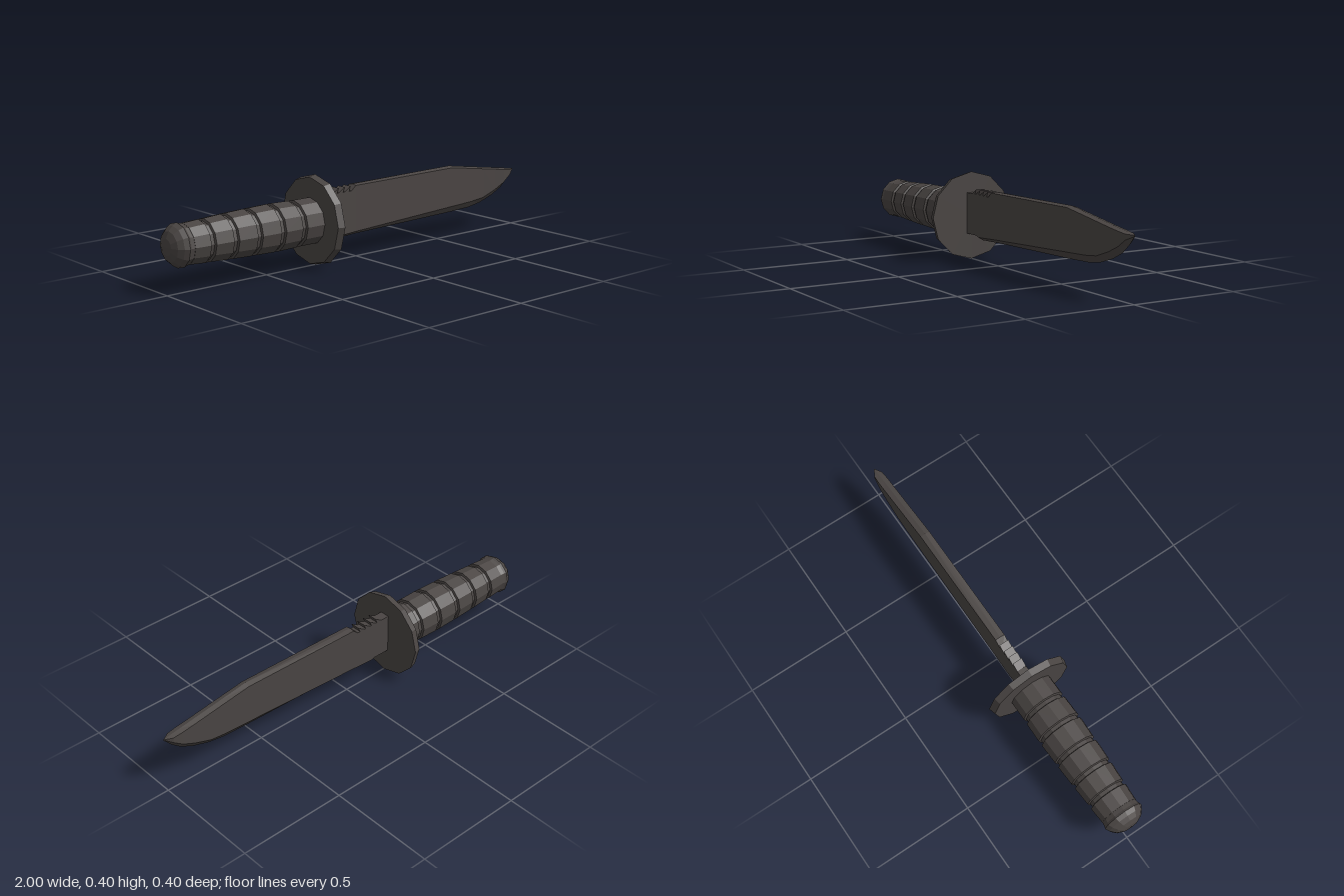
import * as THREE from 'three';

const AXIS_Y = 0.2;
const SIDES = 12;

// Turned part lying along x; profile is a list of [x, radius]
function turned(name, profile, material) {
  const pts = profile.map(([x, r]) => new THREE.Vector2(r, x));
  const geo = new THREE.LatheGeometry(pts, SIDES);
  geo.rotateZ(-Math.PI / 2);
  const mesh = new THREE.Mesh(geo, material);
  mesh.name = name;
  mesh.position.y = AXIS_Y;
  return mesh;
}

// Six-sided cross-sections: spine ridge, flat sides, bevel down to the edge
function bladeGeometry(stations) {
  const pos = [], idx = [];
  for (const [x, ridge, shoulder, bevel, edge, w] of stations) {
    pos.push(x, ridge, 0, x, shoulder, w, x, bevel, w, x, edge, 0, x, bevel, -w, x, shoulder, -w);
  }
  for (let i = 0; i < stations.length - 1; i++) {
    for (let j = 0; j < 6; j++) {
      const a = i * 6 + j, b = i * 6 + (j + 1) % 6;
      idx.push(a, b, b + 6, a, b + 6, a + 6);
    }
  }
  const geo = new THREE.BufferGeometry();
  geo.setAttribute('position', new THREE.Float32BufferAttribute(pos, 3));
  geo.setIndex(idx);
  geo.computeVertexNormals();
  return geo;
}

export function createModel() {
  const model = new THREE.Group();
  model.name = 'knife';
  const dark = new THREE.MeshStandardMaterial({ color: 0x4a4543, flatShading: true });
  dark.name = 'darkGrey';

  // Rounded pommel
  model.add(turned('pommel', [
    [-1, 0], [-0.998, 0.035], [-0.985, 0.065], [-0.965, 0.084],
    [-0.945, 0.095], [-0.935, 0.09], [-0.915, 0.087],
  ], dark));

  // Grip: bands parted by narrow grooves
  const bands = [
    [-0.92, -0.837, 0.088, 0.093], [-0.82, -0.727, 0.093, 0.098], [-0.71, -0.61, 0.099, 0.103],
    [-0.593, -0.49, 0.103, 0.106], [-0.473, -0.375, 0.106, 0.104], [-0.357, -0.255, 0.103, 0.103],
  ];
  const grip = [];
  for (const [x0, x1, r0, r1] of bands) {
    grip.push([x0, r0 - 0.01], [x0 + 0.004, r0], [x1 - 0.004, r1], [x1, r1 - 0.01]);
  }
  model.add(turned('grip', grip, dark));

  // Disc guard
  model.add(turned('guard', [[-0.262, 0], [-0.262, 0.192], [-0.23, 0.2], [-0.23, 0]], dark));

  // Clip-point blade: x, ridge, shoulder, bevel, edge, half width
  const w = 0.023;
  const blade = new THREE.Mesh(bladeGeometry([
    [-0.235, 0.305, 0.305, 0.118, 0.118, w],
    [-0.15, 0.305, 0.305, 0.118, 0.118, w],
    [-0.13, 0.305, 0.305, 0.112, 0.098, w],
    [-0.045, 0.305, 0.305, 0.117, 0.101, w],
    [-0.02, 0.33, 0.326, 0.119, 0.103, w],
    [0.57, 0.338, 0.331, 0.147, 0.116, w],
    [0.7, 0.318, 0.312, 0.153, 0.121, w],
    [0.78, 0.306, 0.3, 0.162, 0.134, w],
    [0.86, 0.294, 0.288, 0.19, 0.16, w],
    [0.92, 0.285, 0.28, 0.218, 0.19, w],
    [0.965, 0.278, 0.274, 0.25, 0.228, w * 0.9],
    [1, 0.272, 0.272, 0.271, 0.268, 0],
  ]), dark);
  blade.name = 'blade';
  model.add(blade);

  // Forward-leaning saw teeth on the spine
  const tooth = new THREE.Shape([
    new THREE.Vector2(0, -0.005), new THREE.Vector2(0.022, -0.005),
    new THREE.Vector2(0.034, 0.022), new THREE.Vector2(0, 0.001),
  ]);
  const toothGeo = new THREE.ExtrudeGeometry(tooth, { depth: 2 * w, bevelEnabled: false });
  toothGeo.translate(0, 0, -w);
  const teeth = new THREE.Group();
  teeth.name = 'sawTeeth';
  for (let i = 0; i < 4; i++) {
    const mesh = new THREE.Mesh(toothGeo, dark);
    mesh.name = 'sawTooth';
    mesh.position.set(-0.185 + i * 0.034, 0.305, 0);
    teeth.add(mesh);
  }
  model.add(teeth);

  return model;
}
